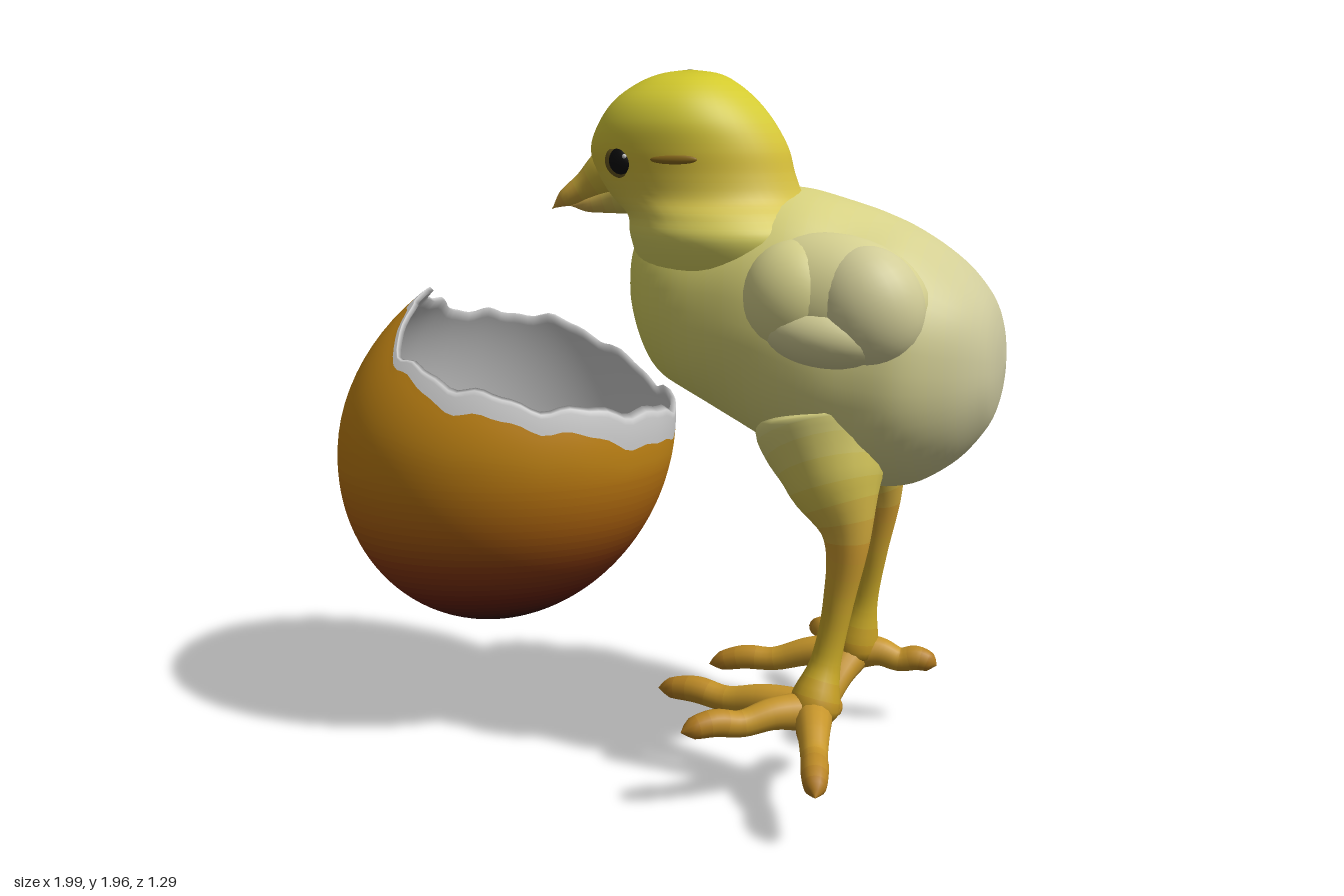
import * as THREE from 'three';

const { lerp, degToRad } = THREE.MathUtils;

// Smooth interpolation through rows of numbers, t in 0..1
function sample(rows, t) {
  const f = Math.min(t, 0.9999999) * (rows.length - 1), i = Math.floor(f), s = f - i;
  const at = k => rows[Math.max(0, Math.min(rows.length - 1, k))];
  const [a, b, c, d] = [at(i - 1), at(i), at(i + 1), at(i + 2)];
  return b.map((_, k) => 0.5 * (2 * b[k] + (c[k] - a[k]) * s
    + (2 * a[k] - 5 * b[k] + 4 * c[k] - d[k]) * s * s
    + (3 * b[k] - a[k] - 3 * c[k] + d[k]) * s * s * s));
}

// Closed-ring surface; smooth across the colour bands, which follow the rows
function surface(name, fn, nu, nv, colors, bands = colors.length) {
  const pos = [], index = [];
  for (let i = 0; i <= nu; i++)
    for (let j = 0; j < nv; j++) pos.push(...fn(i / nu, j / nv * Math.PI * 2, i));
  for (let i = 0; i < nu; i++)
    for (let j = 0; j < nv; j++) {
      const a = i * nv + j, b = i * nv + (j + 1) % nv;
      index.push(a, b, a + nv, b, b + nv, a + nv);
    }
  const whole = new THREE.BufferGeometry();
  whole.setAttribute('position', new THREE.Float32BufferAttribute(pos, 3));
  whole.setIndex(index);
  whole.computeVertexNormals();
  const group = new THREE.Group();
  group.name = name;
  for (let k = 0; k < bands; k++) {
    const r0 = Math.round(k * nu / bands), r1 = Math.round((k + 1) * nu / bands);
    const geo = new THREE.BufferGeometry();
    geo.setAttribute('position', whole.attributes.position);
    geo.setAttribute('normal', whole.attributes.normal);
    geo.setIndex(index.slice(r0 * nv * 6, r1 * nv * 6));
    const f = bands > 1 ? k / (bands - 1) * (colors.length - 1) : 0, c = Math.floor(f);
    const color = new THREE.Color(colors[c]).lerp(new THREE.Color(colors[Math.min(c + 1, colors.length - 1)]), f - c);
    const mesh = new THREE.Mesh(geo, new THREE.MeshStandardMaterial({ color }));
    mesh.name = name + 'Band';
    group.add(mesh);
  }
  return group;
}

// Round limb through [x, y, z, radius] points
function limb(name, pts, colors, nu = 24, nv = 14) {
  const curve = new THREE.CatmullRomCurve3(pts.map(p => new THREE.Vector3(...p)));
  const fr = curve.computeFrenetFrames(nu);
  return surface(name, (u, a, i) => {
    const r = Math.max(0, sample(pts, curve.getUtoTmapping(u))[3]);
    return curve.getPointAt(u)
      .addScaledVector(fr.normals[i], Math.cos(a) * r)
      .addScaledVector(fr.binormals[i], Math.sin(a) * r).toArray();
  }, nu, nv, colors, Math.min(nu, colors.length * 3));
}

function blob(name, color, [x, y, z], [rx, ry, rz], rotZ = 0) {
  const mesh = new THREE.Mesh(new THREE.SphereGeometry(1, 28, 20), new THREE.MeshStandardMaterial({ color }));
  mesh.name = name;
  mesh.position.set(x, y, z);
  mesh.scale.set(rx, ry, rz);
  mesh.rotation.z = rotZ;
  return mesh;
}

// Broken egg: a slightly tilted ellipsoid cut along an uneven rim
function eggShell() {
  const [tx, ty] = [0.468, 0.884];
  // rim elevation in degrees, every 20 degrees around from +x towards +z
  const rim = [13, 16, 18, 21, 26, 31, 37, 51, 60, 56, 51, 45, 43, 41, 36, 26, 17, 14, 13].map(e => [e]);
  const point = (phi, elev, scale) => {
    const e = degToRad(elev);
    const [x, y, z] = [Math.cos(e) * Math.cos(phi), Math.sin(e), Math.cos(e) * Math.sin(phi)];
    const r = scale / Math.hypot((x * tx + y * ty) / 0.58, (y * tx - x * ty) / 0.495, z / 0.475);
    const bulge = 0.4 * Math.max(0, y * r) ** 2;
    return [-0.48 + x * r, 0.89 + y * r, -0.075 + z * r - bulge];
  };
  const rimAt = phi => {
    const p = phi / (Math.PI * 2);
    return sample(rim, p)[0] + 1.2 * Math.sin(phi * 11) + 0.6 * Math.sin(phi * 23 + 1);
  };
  const paintEdge = phi => rimAt(phi) - 7 - 4 * Math.cos(phi) - 1.5 * Math.sin(phi * 5);
  const egg = new THREE.Group();
  egg.name = 'eggShell';
  egg.add(surface('paintedShell', (u, a) => {
    const phi = Math.PI * 2 - a;
    const elev = u < 0.7 ? lerp(-90, -8, u / 0.7) : lerp(-8, paintEdge(phi), (u - 0.7) / 0.3);
    return point(phi, elev, 1);
  }, 40, 108, [0x1c0c0a, 0x35120a, 0x6a210c, 0x8f3c0e, 0xb3650f, 0xc07c12, 0xc48615, 0xc48615], 40));
  egg.add(surface('whiteRimAndInside', (u, a) => {
    const phi = Math.PI * 2 - a;
    if (u < 0.15) return point(phi, lerp(paintEdge(phi), rimAt(phi), u / 0.15), 1);
    return point(phi, lerp(rimAt(phi), -90, (u - 0.15) / 0.85), 0.97);
  }, 40, 108, [0xe2e2e2]));
  return egg;
}

export function createModel() {
  const model = new THREE.Group();
  model.name = 'chickWithEgg';
  model.add(eggShell());
  const chick = new THREE.Group();
  chick.name = 'chick';
  model.add(chick);

  // Body: x, top, bottom, half width, centre z
  const body = [
    [-0.025, 1.4, 1.4, 0, 0.06], [-0.005, 1.51, 1.28, 0.12, 0.055], [0.05, 1.57, 1.15, 0.2, 0.05],
    [0.15, 1.61, 1.08, 0.265, 0.04], [0.3, 1.65, 1.0, 0.32, 0.02], [0.45, 1.65, 0.91, 0.36, 0],
    [0.6, 1.605, 0.84, 0.375, -0.01], [0.75, 1.55, 0.85, 0.365, -0.015], [0.87, 1.465, 0.91, 0.305, -0.02],
    [0.95, 1.375, 1.0, 0.225, -0.02], [0.985, 1.29, 1.08, 0.14, -0.02], [1.0, 1.19, 1.19, 0, -0.02]];
  chick.add(surface('body', (u, a) => {
    const [x, top, bot, w, cz] = sample(body, u);
    const fluff = 1 + 0.012 * Math.sin(x * 19 + 3 * a) * Math.sin(2 * a + x * 7);
    const power = Math.cos(a) > 0 ? 0.84 : 0.94;
    const full = v => Math.sign(v) * Math.abs(v) ** power * fluff;
    return [x, (top + bot) / 2 + (top - bot) / 2 * full(Math.cos(a)), cz + w * full(Math.sin(a))];
  }, 66, 48, [0xd6d058, 0xd8d262, 0xd8d278, 0xd6d18a, 0xcfcb9c, 0xc9c5a0], 33));

  // Neck and head: y, front x, back x, half width, centre z
  const head = [
    [1.28, 0.15, 0.4, 0.14, 0.04], [1.42, 0.02, 0.5, 0.25, 0.045], [1.52, -0.018, 0.54, 0.285, 0.055],
    [1.58, -0.025, 0.5, 0.255, 0.065], [1.63, -0.07, 0.455, 0.215, 0.075], [1.69, -0.11, 0.43, 0.207, 0.08],
    [1.76, -0.13, 0.41, 0.213, 0.08], [1.83, -0.105, 0.37, 0.212, 0.08], [1.89, -0.06, 0.32, 0.188, 0.08],
    [1.935, 0.005, 0.265, 0.14, 0.08], [1.96, 0.07, 0.215, 0.08, 0.08], [1.97, 0.145, 0.145, 0, 0.08]];
  chick.add(surface('head', (u, a) => {
    const [y, front, back, w, cz] = sample(head, u);
    const c = Math.cos(a);
    return [(front + back) / 2 + (back - front) / 2 * c, y, cz - w * Math.sin(a) + (c < 0 ? 0.03 * c * c : 0)];
  }, 60, 48, [0xd6d060, 0xd6d060, 0xd6c44c, 0xd6be38, 0xd4cb38, 0xd2c92c, 0xccc226], 30));
  chick.add(blob('foreheadMark', 0x8a6a1c, [-0.035, 1.888, 0.105], [0.05, 0.02, 0.03], 0.8));

  // Beak
  chick.add(limb('upperBeak', [[0.0, 1.72, 0.105, 0.08], [-0.08, 1.695, 0.11, 0.072], [-0.15, 1.655, 0.12, 0.042],
    [-0.21, 1.62, 0.13, 0.024], [-0.25, 1.59, 0.13, 0]], [0xcdc038, 0xc99a38]));
  chick.add(limb('lowerBeak', [[0.0, 1.64, 0.11, 0.06], [-0.08, 1.622, 0.11, 0.043], [-0.15, 1.605, 0.12, 0.022],
    [-0.2, 1.6, 0.125, 0]], [0xcdc050, 0xc9a048]));

  for (const [side, name] of [[1, 'left'], [-1, 'right']]) {
    // Eyes and face markings
    const z = d => 0.085 + side * d;
    chick.add(blob(name + 'EyeRing', 0x6b5a20, [0.005, 1.73, z(0.158)], [0.058, 0.05, 0.028]));
    chick.add(blob(name + 'Eye', 0x0a0a0a, [0.0, 1.73, z(0.16)], [0.042, 0.042, 0.034]));
    chick.add(blob(name + 'EyeGlint', 0xffffff, [0.012, 1.742, z(0.192)], [0.006, 0.006, 0.004]));
    chick.add(blob(name + 'CheekMark', 0x8a6a1c, [0.15, 1.735, z(0.2)], [0.065, 0.014, 0.01]));

    // Wings: downy lobes set into the flank
    const wing = new THREE.Group();
    wing.name = name + 'Wing';
    wing.add(blob('wingBase', 0xd5d090, [0.57, 1.37, side * 0.25], [0.26, 0.18, 0.145], -0.1));
    wing.add(blob('wingShoulder', 0xd7d28c, [0.48, 1.38, side * 0.275], [0.15, 0.155, 0.13]));
    wing.add(blob('wingTip', 0xd2cd98, [0.67, 1.36, side * 0.285], [0.15, 0.165, 0.13], 0.35));
    wing.add(blob('wingUnderside', 0xd2cd94, [0.57, 1.29, side * 0.31], [0.17, 0.09, 0.11], -0.1));
    chick.add(wing);
  }

  // Legs: ankle, hip-to-ankle line and toe tips for each side
  const legs = [
    { name: 'left', ankle: [0.55, 0.26, 0.29], z: [0.16, 0.225, 0.25, 0.245, 0.255],
      toes: [[0.63, 0.17, 0.64], [0.24, 0.25, 0.51], [0.09, 0.26, 0.22], [0.57, 0.2, 0.09]] },
    { name: 'right', ankle: [0.55, 0.23, -0.34], z: [-0.175, -0.245, -0.28, -0.31, -0.335],
      toes: [[0.36, 0.2, -0.65], [0.09, 0.15, -0.33], [0.44, 0.02, -0.07], [0.8, 0.21, -0.35]] }];
  for (const { name, ankle, z, toes } of legs) {
    const leg = new THREE.Group();
    leg.name = name + 'Leg';
    leg.add(limb('shank', [[0.52, 1.2, z[0], 0], [0.54, 1.05, z[0], 0.185], [0.585, 0.89, z[1], 0.135],
      [0.625, 0.75, z[2], 0.066], [0.605, 0.56, z[3], 0.042], [0.575, 0.39, z[4], 0.042], [...ankle, 0.07],
      [ankle[0], ankle[1] - 0.06, ankle[2], 0]],
      [0xd6d088, 0xd6d07c, 0xd4c450, 0xcf9c30, 0xc9a42a, 0xc8aa26, 0xbf8a20], 42, 20));
    for (const tip of toes) {
      const along = (t, lift, r) => [...ankle.map((v, k) => lerp(v, tip[k], t) + (k === 1 ? lift : 0)), r];
      leg.add(limb('toe', [along(0, 0, 0.055), along(0.3, 0.01, 0.044), along(0.55, -0.005, 0.036),
        along(0.75, 0.008, 0.037), along(0.93, 0, 0.027), along(1, -0.006, 0)],
        [0xc4922a, 0xc8982a, 0xb07a20]));
    }
    chick.add(leg);
  }
  return model;
}
